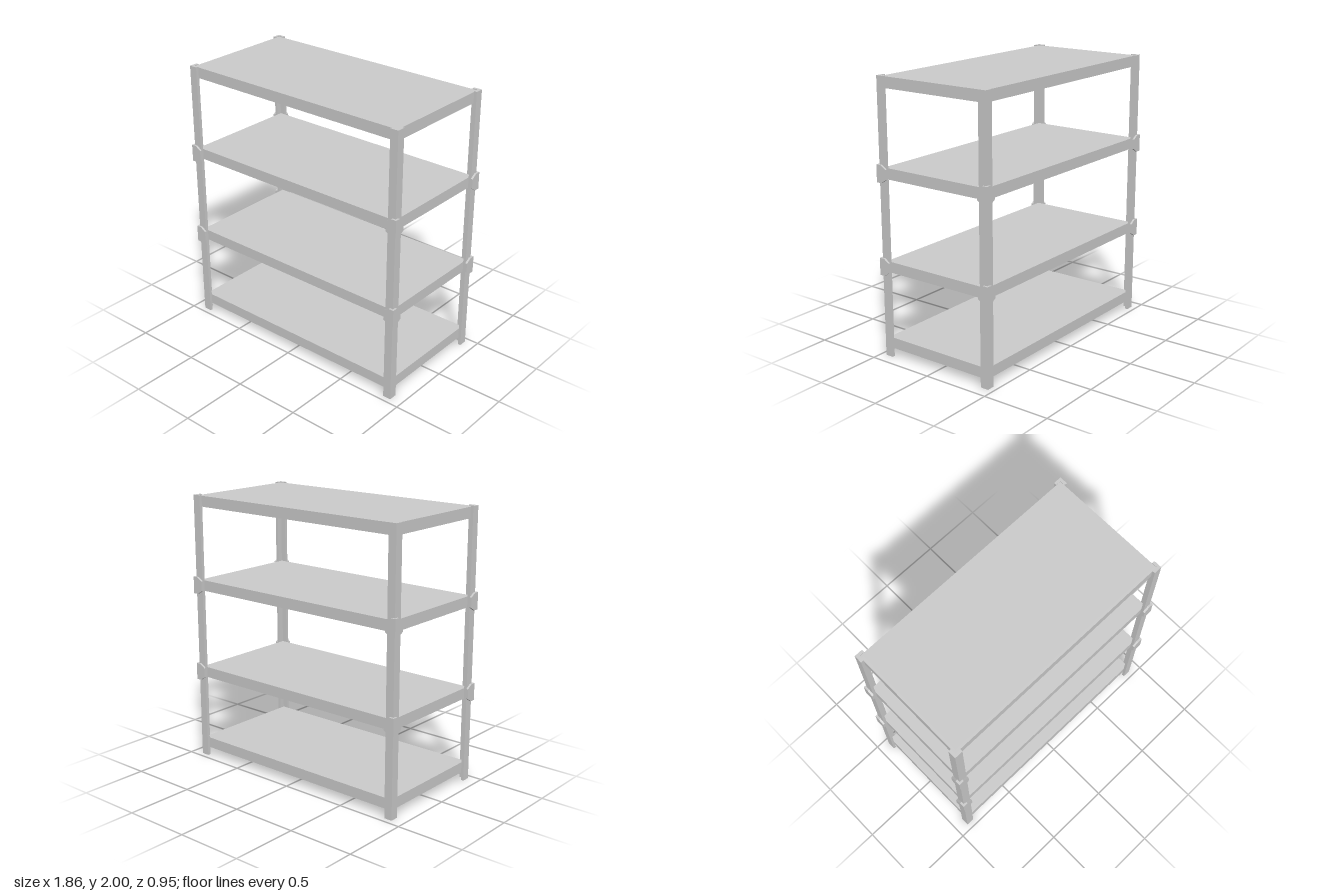
import * as THREE from 'three';

const HX = 0.913, HZ = 0.46;            // outer corners of the posts
const T = 0.021, LEG = 0.061;           // angle-post thickness and leg width
const SX = HX - T, SZ = HZ - T;         // half size of the shelves
const SHELF_H = 0.079;

export function createModel() {
  const model = new THREE.Group();
  model.name = 'shelvingUnit';
  const mat = new THREE.MeshStandardMaterial({ color: 0xcccccc, flatShading: true });

  const add = (parent, name, geo, x = 0, y = 0, z = 0) => {
    const mesh = new THREE.Mesh(geo, mat);
    mesh.name = name;
    mesh.position.set(x, y, z);
    parent.add(mesh);
    return mesh;
  };
  const box = (parent, name, w, h, d, x, y, z) =>
    add(parent, name, new THREE.BoxGeometry(w, h, d), x, y, z);
  const extrude = (points, depth) => new THREE.ExtrudeGeometry(
    new THREE.Shape(points.map(([x, y]) => new THREE.Vector2(x, y))),
    { depth, bevelEnabled: false });

  // L-shaped post, its outer corner on the local origin
  const postGeo = extrude([[0, 0], [-LEG, 0], [-LEG, T], [-T, T], [-T, LEG], [0, LEG]], 2);
  postGeo.rotateX(-Math.PI / 2);

  // Connector plate with its two inner corners cut off
  const C = 0.015;
  const plate = (outer) => extrude([
    [outer, -0.063], [outer, 0.063], [-0.024, 0.063],
    [-0.066, 0.036], [-0.066, -0.036], [-0.024, -0.063],
  ], C);
  const frontPlate = plate(C);
  const sidePlate = plate(0).rotateY(-Math.PI / 2).translate(C, 0, 0);

  // Four corners, each a quarter turn of the same post
  [[1, 1, 0], [1, -1, 1], [-1, -1, 2], [-1, 1, 3]].forEach(([sx, sz, turns]) => {
    const corner = new THREE.Group();
    corner.name = 'cornerPost';
    corner.position.set(sx * HX, 0, sz * HZ);
    corner.rotation.y = turns * Math.PI / 2;
    add(corner, 'post', postGeo);
    for (const y of [0.667, 1.333]) {
      add(corner, 'connectorFrontPlate', frontPlate, 0, y, 0);
      add(corner, 'connectorSidePlate', sidePlate, 0, y, 0);
    }
    model.add(corner);
  });

  // Shelves: a rim of beams around a panel; the upper ones have cross bars
  const B = 0.016;
  [0.138, 0.704, 1.372, 1.995].forEach((top, i) => {
    const shelf = new THREE.Group();
    shelf.name = 'shelf';
    shelf.position.y = top;
    const mid = -SHELF_H / 2;
    for (const s of [-1, 1]) {
      box(shelf, 'longBeam', 2 * SX, SHELF_H, B, 0, mid, s * (SZ - B / 2));
      box(shelf, 'shortBeam', B, SHELF_H, 2 * (SZ - B), s * (SX - B / 2), mid, 0);
    }
    const thick = i === 0 ? SHELF_H - 0.005 : 0.035;
    box(shelf, 'panel', 2 * (SX - B), thick, 2 * (SZ - B), 0, -thick / 2, 0);
    if (i > 0) {
      for (const s of [-1, 1]) {
        box(shelf, 'crossBar', 0.045, 0.025, 2 * (SZ - B), s * SX / 3, -thick - 0.0125, 0);
      }
    }
    model.add(shelf);
  });

  return model;
}
